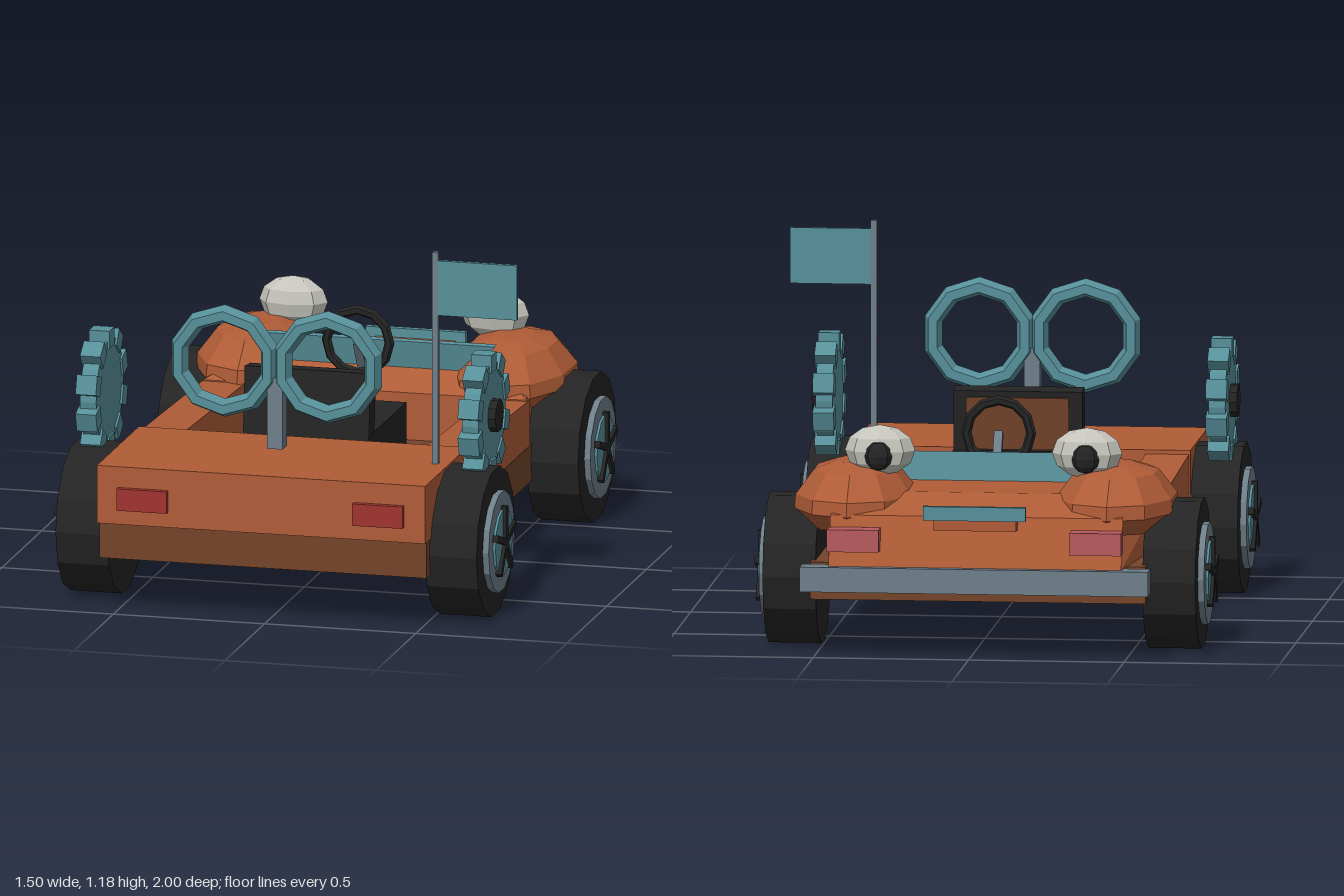
import * as THREE from 'three';

const mat = (name, color, extra = {}) => {
  const m = new THREE.MeshStandardMaterial({ color, flatShading: true, ...extra });
  m.name = name;
  return m;
};

export function createModel() {
  const model = new THREE.Group();
  model.name = 'buggy';
  const orange = mat('orange paint', 0xb05c37);
  const brown = mat('brown chassis', 0x74452b);
  const teal = mat('teal trim', 0x57909a);
  const black = mat('black rubber', 0x242424);
  const grey = mat('grey metal', 0x6e7f8a);
  const red = mat('red lamp', 0xa03430);
  const pink = mat('pink lamp', 0xb85a5e);
  const white = mat('eye white', 0xc6c6be);
  const CX = -0.017; // centre line of the car body

  const add = (name, geo, m, parent = model) => {
    const mesh = new THREE.Mesh(geo, m);
    mesh.name = name;
    parent.add(mesh);
    return mesh;
  };
  // box given by its limits
  const box = (name, m, x0, x1, y0, y1, z0, z1, parent = model) => {
    const b = add(name, new THREE.BoxGeometry(x1 - x0, y1 - y0, z1 - z0), m, parent);
    b.position.set((x0 + x1) / 2, (y0 + y1) / 2, (z0 + z1) / 2);
    return b;
  };
  // side profile of [z, y] points extruded across x
  const profile = (pts, width) => {
    const s = new THREE.Shape(pts.map(([z, y]) => new THREE.Vector2(-z, y)));
    const g = new THREE.ExtrudeGeometry(s, { depth: width, bevelEnabled: false });
    return g.translate(0, 0, -width / 2).rotateY(Math.PI / 2);
  };
  // both sides of the car
  const sides = (fn) => [-1, 1].forEach((s) => fn(s, CX));

  // Chassis and body
  box('chassis', brown, -0.557, 0.523, 0.18, 0.3, -0.88, 0.955);
  box('rearDeck', orange, -0.56, 0.526, 0.3, 0.49, 0.45, 0.98);
  sides((s, c) => {
    const rail = add('sideRail', profile([[0.46, 0.3], [0.46, 0.477], [-0.36, 0.45], [-0.36, 0.3]], 0.14), orange);
    rail.position.x = c + s * 0.468;
  });

  // Hood, narrowing at the nose
  const hoodGeo = profile([[-0.33, 0.3], [-0.33, 0.455], [-0.45, 0.512], [-0.72, 0.51],
    [-0.91, 0.458], [-0.97, 0.3]], 1.07);
  const hp = hoodGeo.attributes.position;
  for (let i = 0; i < hp.count; i++) {
    if (hp.getZ(i) < -0.85) hp.setX(i, hp.getX(i) * 0.88);
    else if (hp.getY(i) > 0.48) hp.setX(i, hp.getX(i) * 0.8);
  }
  hoodGeo.computeVertexNormals();
  add('hood', hoodGeo, orange).position.x = CX;

  // Rounded front fenders
  const fenderPts = [[0, 0.395], [0.8, 0.395], [1, 0.45], [0.98, 0.495], [0.68, 0.573], [0.32, 0.598], [0, 0.6]]
    .map(([r, y]) => new THREE.Vector2(r, y));
  sides((s, c) => {
    const f = add('frontFender', new THREE.LatheGeometry(fenderPts, 10), orange);
    f.scale.set(0.2, 1, 0.305);
    f.position.set(c + s * 0.418, 0, -0.615);
  });

  // Eyes on the fenders
  sides((s, c) => {
    const eye = add('eye', new THREE.SphereGeometry(1, 8, 6), white);
    eye.scale.set(0.113, 0.082, 0.067);
    eye.position.set(c + s * 0.333, 0.64, -0.7);
    const pupil = add('pupil', new THREE.SphereGeometry(1, 8, 6), black);
    pupil.scale.set(0.045, 0.048, 0.03);
    pupil.position.set(c + s * 0.333, 0.628, -0.752);
  });

  // Windscreen: leaning plate, wider at the top
  const ws = new THREE.Shape([[-0.33, 0], [0.33, 0], [0.405, 0.1], [-0.405, 0.1]].map((p) => new THREE.Vector2(...p)));
  const screen = add('windscreen', new THREE.ExtrudeGeometry(ws, { depth: 0.02, bevelEnabled: false }), teal);
  screen.position.set(CX, 0.505, -0.465);
  screen.rotation.x = 0.2;

  // Bumper, grille and lamps
  box('bumper', grey, -0.577, 0.543, 0.22, 0.3, -1, -0.925);
  box('grille', teal, -0.182, 0.148, 0.455, 0.5, -0.99, -0.968);
  box('grilleMount', orange, -0.15, 0.116, 0.42, 0.47, -0.97, -0.9);
  sides((s, c) => {
    const x = c + s * 0.39;
    box('frontLamp', pink, x - 0.083, x + 0.083, 0.35, 0.422, -0.998, -0.93);
    box('rearLamp', red, x - 0.083, x + 0.083, 0.35, 0.422, 0.97, 1);
  });

  // Wheels: tyre, rim, cap and five spokes, built along +x
  const drum = (name, m, r, x0, x1, n, parent) => {
    const d = add(name, new THREE.CylinderGeometry(r, r, x1 - x0, n).rotateZ(Math.PI / 2), m, parent);
    d.position.x = (x0 + x1) / 2;
    return d;
  };
  const wheel = (s, z) => {
    const w = new THREE.Group();
    w.name = z > 0 ? 'rearWheel' : 'frontWheel';
    drum('tyre', black, 0.243, -0.085, 0.085, 14, w);
    drum('rim', grey, 0.165, 0, 0.105, 14, w);
    drum('wheelCap', teal, 0.11, 0, 0.113, 12, w);
    for (let i = 0; i < 5; i++) {
      const spoke = new THREE.Group();
      spoke.name = 'spoke';
      box('spokeBar', black, 0.1, 0.124, 0, 0.118, -0.011, 0.011, spoke);
      spoke.rotation.x = (i * Math.PI * 2) / 5;
      w.add(spoke);
    }
    w.position.set(CX + s * 0.611, 0.245, z);
    if (s < 0) w.rotation.y = Math.PI;
    model.add(w);
  };
  sides((s) => [0.675, -0.605].forEach((z) => wheel(s, z)));

  // Gears above the rear wheels
  sides((s, c) => {
    const g = new THREE.Group();
    g.name = 'gear';
    drum('gearDisc', teal, 0.172, -0.027, 0.027, 20, g);
    for (let i = 0; i < 10; i++) {
      const t = new THREE.Group();
      t.name = 'gearTooth';
      box('tooth', teal, -0.034, 0.034, 0.145, 0.203, -0.032, 0.032, t);
      t.rotation.x = (i * Math.PI) / 5;
      g.add(t);
    }
    drum('gearHub', black, 0.054, 0, 0.052, 10, g);
    g.position.set(c + s * 0.632, 0.636, 0.58);
    if (s < 0) g.rotation.y = Math.PI;
    model.add(g);
  });

  // Seat with an inset back panel
  box('seatCushion', black, -0.225, 0.192, 0.3, 0.495, -0.055, 0.4);
  const back = new THREE.Group();
  back.name = 'seatBack';
  box('backrest', black, -0.208, 0.208, 0, 0.22, -0.035, 0.035, back);
  box('backPanel', brown, -0.165, 0.165, 0.03, 0.2, -0.043, -0.034, back);
  back.position.set(CX, 0.475, 0.38);
  back.rotation.x = -0.1;
  model.add(back);

  // Steering wheel and column
  const sw = add('steeringWheel', new THREE.TorusGeometry(0.104, 0.016, 6, 12), black);
  sw.position.set(CX, 0.637, -0.243);
  const column = add('steeringColumn', new THREE.BoxGeometry(0.028, 0.2, 0.028), grey);
  column.position.set(CX, 0.553, -0.296);
  column.rotation.x = 0.57;

  // Winding key on the rear deck
  [-0.189, 0.153].forEach((x) => {
    const ring = add('keyRing', new THREE.TorusGeometry(0.155, 0.03, 6, 10), teal);
    ring.scale.z = 1.4;
    ring.rotation.z = Math.PI / 10;
    ring.position.set(x, 0.81, 0.776);
  });
  box('keyPost', grey, -0.044, 0.008, 0.535, 0.77, 0.75, 0.802);

  // Flag on a pole
  box('flagPole', grey, 0.472, 0.492, 0.48, 1.187, 0.668, 0.688);
  box('flag', teal, 0.49, 0.752, 0.98, 1.16, 0.67, 0.686);

  return model;
}
